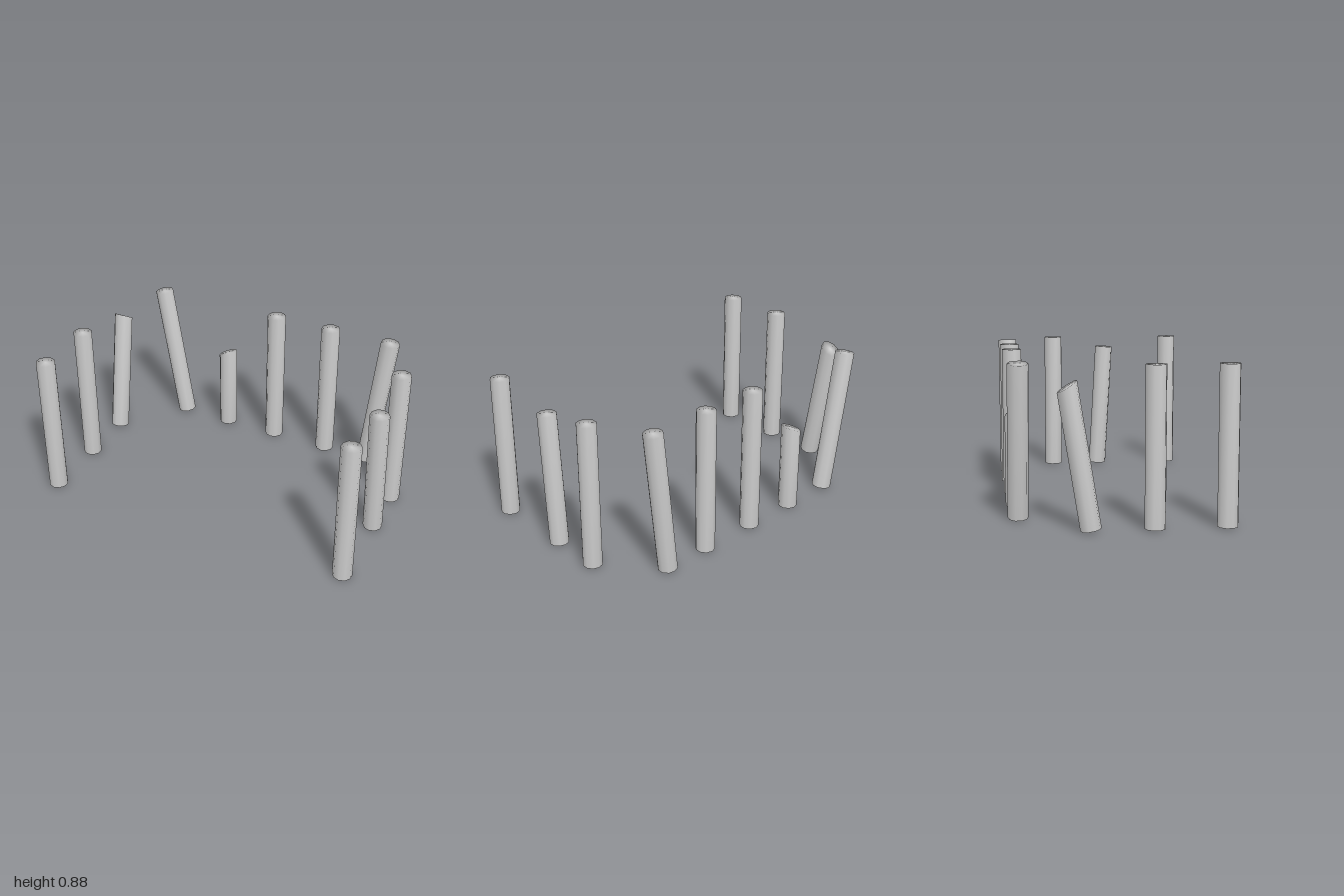
import * as THREE from 'three';
import { mergeVertices } from 'three/addons/utils/BufferGeometryUtils.js';

const RADIUS = 0.057;
const UP = new THREE.Vector3(0, 1, 0);
const material = new THREE.MeshStandardMaterial({ color: 0xcccccc });

// Ten-sided post from foot centre to top centre; slopeX/slopeZ slant its cut top.
function makePost(name, foot, top, slopeX = 0, slopeZ = 0) {
  const a = new THREE.Vector3(...foot);
  const axis = new THREE.Vector3(...top).sub(a);
  const length = axis.length();

  let geometry = new THREE.CylinderGeometry(RADIUS, RADIUS, length, 10);
  geometry.translate(0, length / 2, 0);
  const p = geometry.attributes.position;
  for (let i = 0; i < p.count; i++) {
    if (p.getY(i) > length / 2) {
      p.setY(i, p.getY(i) + slopeX * p.getX(i) + slopeZ * p.getZ(i));
    }
  }

  // Weld walls and caps so the shading rolls softly over the rims.
  geometry.deleteAttribute('uv');
  geometry.deleteAttribute('normal');
  geometry = mergeVertices(geometry, 1e-4);
  geometry.computeVertexNormals();

  const post = new THREE.Mesh(geometry, material);
  post.name = name;
  post.position.copy(a);
  post.quaternion.setFromUnitVectors(UP, axis.normalize());
  return post;
}

export function createModel() {
  const model = new THREE.Group();
  model.name = 'postEnclosure';

  // Upright posts on the two sides and along the back
  const uprights = [
    [-0.945, 0.547], [-0.945, 0.157],
    [0.02, -0.55], [0.38, -0.55],
    [0.943, -0.234], [0.943, 0.547],
  ];
  uprights.forEach(([x, z], i) => {
    model.add(makePost(`uprightPost${i + 1}`, [x, 0.007, z], [x, 0.877, z]));
  });

  // Leaning posts
  model.add(makePost('leaningPostBackRight', [-0.632, 0.012, -0.55], [-0.777, 0.871, -0.55]));
  model.add(makePost('leaningPostBackLeft', [0.668, 0.01, -0.55], [0.762, 0.874, -0.55]));
  model.add(makePost('leaningPostLeft', [0.943, 0.009, 0.068], [0.943, 0.81, 0.113]));

  // Broken posts with slanted tops
  model.add(makePost('brokenPostRight', [-0.945, 0.012, -0.183], [-0.945, 0.767, -0.306], 0, 0.43));
  model.add(makePost('brokenPostBack', [-0.317, 0.006, -0.55], [-0.317, 0.528, -0.55], 0.38, 0.08));

  return model;
}
